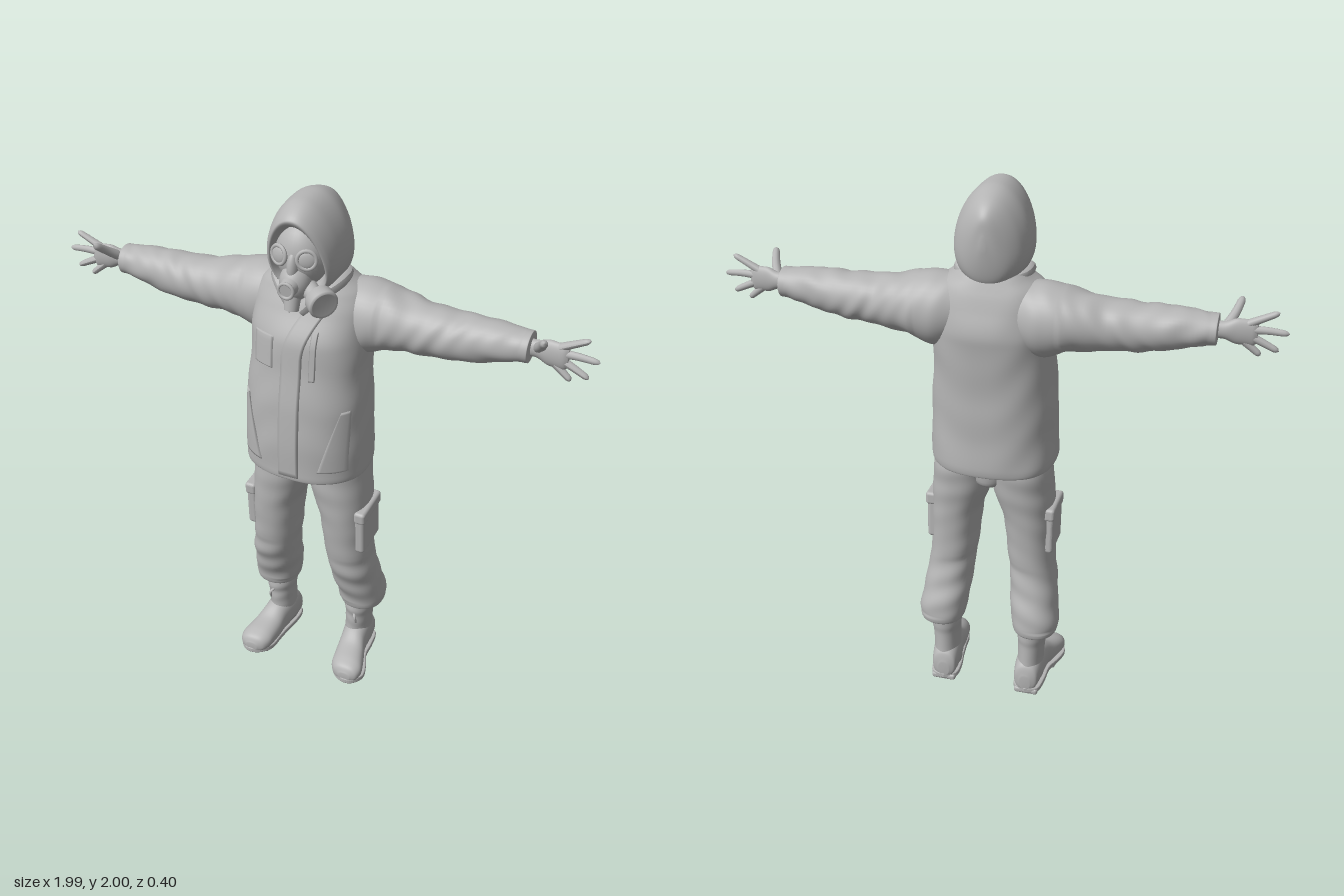
import * as THREE from 'three';
import { RoundedBoxGeometry } from 'three/addons/geometries/RoundedBoxGeometry.js';

const clay = new THREE.MeshStandardMaterial({ color: 0xb4b4b4, side: THREE.DoubleSide });
clay.name = 'clay grey';

// Smooth interpolation of profile rows without overshoot, k = fractional row index
function rowAt(rows, k) {
  const i = Math.min(Math.floor(k), rows.length - 2), f = k - i;
  return rows[0].map((_, j) => {
    const d = n => (n < 0 || n > rows.length - 2 ? null : rows[n + 1][j] - rows[n][j]);
    const tangent = n => {
      const a = d(n - 1), b = d(n);
      if (a === null) return b;
      if (b === null) return a;
      return a * b > 0 ? (2 * a * b) / (a + b) : 0;
    };
    const p = rows[i][j], q = rows[i + 1][j], f2 = f * f, f3 = f2 * f;
    return p * (2 * f3 - 3 * f2 + 1) + tangent(i) * (f3 - 2 * f2 + f) + q * (3 * f2 - 2 * f3) + tangent(i + 1) * (f3 - f2);
  });
}

// Row maps: [position along axis, centre, centre, radius, radius]
const alongY = (r, c, s) => [r[1] + r[3] * c, r[0], r[2] + r[4] * s];
const alongX = (r, c, s) => [r[0], r[1] + r[3] * c, r[2] + r[4] * s];
const alongZ = (r, c, s) => [r[1] + r[3] * c, r[2] + r[4] * s, r[0]];

// Closed loft through superellipse rings; fold() scales the ring to make cloth folds
function loft(rows, map, { n = 2, steps = 6, seg = 40, fold = () => 0, openStart = false } = {}) {
  const pos = [], idx = [], rings = (rows.length - 1) * steps + 1;
  const pw = v => Math.sign(v) * Math.abs(v) ** (2 / n);
  for (let i = 0; i < rings; i++) {
    const r = rowAt(rows, i / steps);
    for (let j = 0; j < seg; j++) {
      const a = (j / seg) * Math.PI * 2, k = 1 + fold(r[0], a);
      pos.push(...map(r, pw(Math.cos(a)) * k, pw(Math.sin(a)) * k));
    }
  }
  for (let i = 0; i < rings - 1; i++) for (let j = 0; j < seg; j++) {
    const a = i * seg + j, b = i * seg + (j + 1) % seg;
    idx.push(a, a + seg, b, b, a + seg, b + seg);
  }
  const cap = (ring, flip) => {
    const c = pos.length / 3;
    pos.push(...map(rowAt(rows, ring / steps), 0, 0));
    for (let j = 0; j < seg; j++) {
      const a = ring * seg + j, b = ring * seg + (j + 1) % seg;
      idx.push(c, flip ? b : a, flip ? a : b);
    }
  };
  if (!openStart) cap(0, false);
  cap(rings - 1, true);
  // Turn the faces outwards when the enclosed volume is negative
  let vol = 0;
  const v = i => new THREE.Vector3().fromArray(pos, i * 3);
  for (let t = 0; t < idx.length; t += 3) vol += v(idx[t]).dot(v(idx[t + 1]).cross(v(idx[t + 2])));
  if (vol < 0) idx.reverse();
  return finish(pos, idx);
}

function finish(pos, idx) {
  const g = new THREE.BufferGeometry();
  g.setAttribute('position', new THREE.Float32BufferAttribute(pos, 3));
  g.setIndex(idx);
  g.computeVertexNormals();
  return g;
}

// Tapering round-ended tube for the fingers
function digit(points, r) {
  const curve = new THREE.CatmullRomCurve3(points.map(p => new THREE.Vector3(...p)));
  const g = new THREE.TubeGeometry(curve, 16, r, 10), p = g.attributes.position, q = new THREE.Vector3();
  for (let i = 0; i < p.count; i++) {
    const t = Math.floor(i / 11) / 16, o = curve.getPointAt(t);
    const k = (1 - 0.3 * t) * Math.sqrt(Math.max(0, 1 - Math.max(0, (t - 0.8) / 0.2) ** 2));
    q.fromBufferAttribute(p, i).sub(o).multiplyScalar(k).add(o);
    p.setXYZ(i, q.x, q.y, q.z);
  }
  g.computeVertexNormals();
  return g;
}

const jacketRows = [
  [0.968, 0, 0, 0.2, 0.17], [0.972, 0, 0, 0.226, 0.192], [1.0, 0, 0, 0.23, 0.196], [1.12, 0, 0.005, 0.226, 0.193],
  [1.25, 0, 0.003, 0.222, 0.188], [1.4, 0, -0.01, 0.212, 0.18], [1.5, 0, -0.018, 0.212, 0.178],
  [1.6, 0, -0.03, 0.208, 0.143], [1.66, 0, -0.035, 0.185, 0.118], [1.7, 0, -0.035, 0.135, 0.1], [1.74, 0, -0.03, 0.09, 0.08]];

// Height of the jacket front at (x, y)
function jacketZ(x, y) {
  let lo = 0, hi = jacketRows.length - 1;
  for (let i = 0; i < 30; i++) { const m = (lo + hi) / 2; if (rowAt(jacketRows, m)[0] < y) lo = m; else hi = m; }
  const r = rowAt(jacketRows, lo);
  return r[2] + r[4] * Math.max(0, 1 - Math.abs(x / r[3]) ** 2.4) ** (1 / 2.4);
}

// Raised cloth panel lying on the jacket front between two edges
function panel(left, right, y0, y1, lift, nu = 10, nv = 40) {
  const pos = [], idx = [];
  for (let i = 0; i <= nv; i++) for (let j = 0; j <= nu; j++) {
    const y = y0 + ((y1 - y0) * i) / nv, u = Math.max(0, (j - 1) / (nu - 2)), x = left(y) + (right(y) - left(y)) * Math.min(1, u);
    const rim = i === 0 || i === nv || j === 0 || j === nu;
    pos.push(x, y, jacketZ(x, y) + (rim ? -0.012 : lift));
    if (i < nv && j < nu) { const a = i * (nu + 1) + j, b = a + nu + 1; idx.push(a, a + 1, b, b, a + 1, b + 1); }
  }
  return finish(pos, idx);
}

export function createModel() {
  const model = new THREE.Group();
  const add = (name, geo) => {
    const m = new THREE.Mesh(geo, clay);
    m.name = name;
    model.add(m);
    return m;
  };
  // Adds a part on the +x side and its mirror image
  const pair = (name, geo) => {
    add(name + 'Left', geo);
    const g = geo.clone().scale(-1, 1, 1), ix = g.index ? Array.from(g.index.array) : [...Array(g.attributes.position.count).keys()];
    g.setIndex(ix.reverse());
    g.computeVertexNormals();
    add(name + 'Right', g);
  };
  const ball = (x, y, z, rx, ry, rz) => new THREE.SphereGeometry(1, 32, 20).scale(rx, ry, rz).translate(x, y, z);
  const aim = (geo, dir, at) => geo.applyQuaternion(new THREE.Quaternion().setFromUnitVectors(
    new THREE.Vector3(0, 1, 0), new THREE.Vector3(...dir).normalize())).translate(...at);

  // Jacket body and sleeves
  add('jacket', loft(jacketRows, alongY, { n: 2.4, seg: 72, steps: 8,
    fold: (y, a) => 0.01 * Math.sin(y * 26 + 2 * Math.sin(a * 3)) * Math.sin(a * 2 + y * 9) }));
  pair('sleeve', loft([
    [0.08, 1.57, -0.05, 0.115, 0.1], [0.19, 1.558, -0.06, 0.133, 0.122], [0.28, 1.565, -0.06, 0.11, 0.113],
    [0.4, 1.56, -0.05, 0.091, 0.094], [0.5, 1.56, -0.045, 0.085, 0.087], [0.62, 1.57, -0.043, 0.075, 0.076],
    [0.74, 1.58, -0.042, 0.054, 0.06], [0.764, 1.58, -0.042, 0.053, 0.058], [0.767, 1.58, -0.042, 0.03, 0.03]],
    alongX, { steps: 9, fold: (x, a) => (x > 0.25 && x < 0.74 ? 0.035 : 0.008) * Math.sin(x * 62 + 2.2 * Math.sin(a * 2 + x * 8)) * Math.sin(a + x * 14) }));

  // Front flap, chest pocket and hip pockets
  const flapEdge = y => -0.035 + 0.1 * Math.max(0, (y - 1.45) / 0.22) ** 1.8;
  add('frontFlap', panel(flapEdge, y => flapEdge(y) + 0.075, 0.975, 1.665, 0.008));
  add('chestPocket', panel(() => -0.15, () => -0.07, 1.4, 1.52, 0.004));
  add('chestZipFlap', panel(() => 0.068, () => 0.088, 1.38, 1.56, 0.007));
  for (const s of [-1, 1]) {
    const inner = y => s * (0.18 - 0.07 * (1.28 - y) / 0.25), outer = y => s * 0.2;
    add('hipPocket', s > 0 ? panel(inner, outer, 1.02, 1.27, 0.006) : panel(outer, inner, 1.02, 1.27, 0.006));
  }
  pair('collar', digit([[0.01, 1.61, 0.1], [0.06, 1.665, 0.085], [0.11, 1.7, 0.03], [0.11, 1.705, -0.05], [0.05, 1.7, -0.11]], 0.028));

  // Hood: [depth, slope of ring, centre height, half width, half height]
  add('hood', loft([
    [0.075, 0.3, 1.8, 0.08, 0.115], [0.108, 0.3, 1.8, 0.092, 0.128], [0.118, 0.3, 1.805, 0.1, 0.142], [0.106, 0.3, 1.81, 0.112, 0.152],
    [0.05, 0.18, 1.83, 0.126, 0.168], [-0.02, 0.05, 1.835, 0.131, 0.166], [-0.09, 0, 1.825, 0.113, 0.155],
    [-0.135, -0.02, 1.82, 0.075, 0.13], [-0.155, -0.04, 1.83, 0.038, 0.085], [-0.163, 0, 1.84, 0.008, 0.02]],
    (r, c, s) => [r[3] * c * (1 - 0.22 * s), r[2] + r[4] * s, r[0] + r[1] * r[4] * s], { n: 2.15, seg: 56, openStart: true }));

  // Mask with lenses, valve, outlet and filter canister
  add('maskFace', ball(0, 1.81, 0.06, 0.094, 0.12, 0.092));
  add('maskMuzzle', ball(0, 1.725, 0.12, 0.054, 0.065, 0.06));
  add('maskNose', ball(0, 1.78, 0.135, 0.022, 0.06, 0.032));
  const lensDir = [0.38, 0.1, 1];
  pair('lensRim', aim(new THREE.TorusGeometry(0.031, 0.007, 10, 32).rotateX(Math.PI / 2), lensDir, [0.05, 1.82, 0.143]));
  pair('lens', aim(new THREE.SphereGeometry(0.031, 24, 12).scale(1, 0.35, 1), lensDir, [0.05, 1.82, 0.141]));
  add('valve', aim(new THREE.CylinderGeometry(0.026, 0.034, 0.04, 28), [0, -0.1, 1], [0, 1.725, 0.178]));
  add('valveRim', new THREE.TorusGeometry(0.026, 0.006, 10, 28).translate(0, 1.723, 0.196));
  add('outlet', aim(new THREE.CylinderGeometry(0.025, 0.029, 0.05, 24), [0, -1, 0.25], [0, 1.66, 0.15]));
  const filterDir = [0.72, -0.15, 0.6];
  add('filterNeck', aim(new THREE.CylinderGeometry(0.028, 0.032, 0.07, 24), filterDir, [0.06, 1.7, 0.125]));
  add('filter', aim(new THREE.LatheGeometry([[0, -0.03], [0.04, -0.03], [0.05, -0.02], [0.052, 0.018], [0.047, 0.026], [0.042, 0.022], [0, 0.022]]
    .map(p => new THREE.Vector2(...p)), 36), filterDir, [0.107, 1.688, 0.152]));

  // Hands
  pair('palm', loft([
    [0.72, 1.58, -0.04, 0.033, 0.026], [0.78, 1.58, -0.04, 0.03, 0.022], [0.83, 1.578, -0.034, 0.046, 0.021],
    [0.875, 1.575, -0.03, 0.046, 0.017], [0.893, 1.574, -0.03, 0.034, 0.009]], alongX));
  const fingers = { indexFinger: [[0.86, 1.607], [0.91, 1.632], [0.957, 1.655]], middleFinger: [[0.87, 1.587], [0.93, 1.588], [0.995, 1.583]],
    ringFinger: [[0.87, 1.563], [0.92, 1.54], [0.966, 1.517]], littleFinger: [[0.85, 1.545], [0.88, 1.52], [0.908, 1.496]] };
  for (const [name, pts] of Object.entries(fingers)) pair(name, digit(pts.map(([x, y], i) => [x, y, -0.031 + i * 0.002]), 0.0145));
  pair('thumb', digit([[0.79, 1.59, -0.03], [0.812, 1.622, 0.01], [0.83, 1.662, 0.062]], 0.018));

  // Trousers with cargo pockets
  pair('trouserLeg', loft([
    [0.268, 0.183, -0.095, 0.06, 0.07], [0.278, 0.184, -0.095, 0.082, 0.09], [0.31, 0.183, -0.093, 0.088, 0.097],
    [0.4, 0.171, -0.068, 0.09, 0.102], [0.5, 0.16, -0.036, 0.087, 0.104], [0.6, 0.148, -0.025, 0.088, 0.109],
    [0.75, 0.137, -0.02, 0.094, 0.12], [0.87, 0.115, -0.022, 0.111, 0.13], [0.95, 0.106, -0.024, 0.112, 0.135], [1.02, 0.1, -0.02, 0.1, 0.13]],
    alongY, { n: 2.2, steps: 8, fold: (y, a) => (y < 0.3 ? 0 : y < 0.55 ? 0.035 : 0.012) * Math.sin(y * 58 + 2 * Math.sin(a + 1)) * Math.cos(a - 1 + y * 6) }));
  add('trouserSeat', loft([[0.87, 0, -0.03, 0.03, 0.05], [0.91, 0, -0.025, 0.08, 0.115], [1.0, 0, -0.02, 0.12, 0.13]], alongY));
  pair('cargoPocket', new RoundedBoxGeometry(0.04, 0.18, 0.155, 4, 0.014).rotateX(0.06).translate(0.222, 0.705, -0.014));
  pair('cargoFlap', new RoundedBoxGeometry(0.044, 0.05, 0.168, 4, 0.012).rotateX(0.06).translate(0.224, 0.782, -0.012));

  // Boots
  pair('bootShaft', loft([
    [0.05, 0.167, -0.1, 0.052, 0.078], [0.15, 0.169, -0.095, 0.05, 0.073], [0.21, 0.171, -0.093, 0.052, 0.073],
    [0.25, 0.172, -0.093, 0.057, 0.077], [0.3, 0.175, -0.095, 0.057, 0.075]], alongY,
    { fold: (y, a) => 0.015 * Math.sin(y * 110 + Math.sin(a * 2)) * Math.max(0, Math.sin(a)) }));
  pair('bootFoot', loft([
    [-0.183, 0.164, 0.055, 0.02, 0.03], [-0.17, 0.165, 0.07, 0.045, 0.058], [-0.1, 0.168, 0.088, 0.055, 0.078],
    [-0.03, 0.175, 0.08, 0.052, 0.07], [0.03, 0.186, 0.062, 0.059, 0.054], [0.09, 0.198, 0.053, 0.064, 0.044],
    [0.125, 0.203, 0.046, 0.05, 0.034], [0.139, 0.205, 0.04, 0.022, 0.016]], alongZ, { n: 2.3 }));
  const sole = new THREE.Shape();
  sole.setFromPoints(new THREE.SplineCurve([[0.165, 0.18], [0.21, 0.165], [0.222, 0.1], [0.226, 0.03], [0.25, -0.03], [0.262, -0.085], [0.24, -0.125],
    [0.205, -0.137], [0.165, -0.12], [0.138, -0.08], [0.133, -0.02], [0.127, 0.04], [0.118, 0.1], [0.122, 0.16], [0.165, 0.18]]
    .map(p => new THREE.Vector2(...p))).getPoints(70).slice(0, -1));
  pair('sole', new THREE.ExtrudeGeometry(sole, { depth: 0.014, bevelSize: 0.005, bevelThickness: 0.004, bevelSegments: 2 })
    .rotateX(-Math.PI / 2).translate(0, 0.014, 0));
  pair('heel', new RoundedBoxGeometry(0.094, 0.026, 0.085, 3, 0.01).translate(0.167, 0.013, -0.138));
  pair('toeTread', new RoundedBoxGeometry(0.11, 0.022, 0.1, 3, 0.009).rotateY(0.15).translate(0.195, 0.011, 0.05));
  pair('bootLace', digit([[0.172, 0.235, -0.03], [0.185, 0.225, -0.008], [0.188, 0.19, -0.016]], 0.006));
  return model;
}
